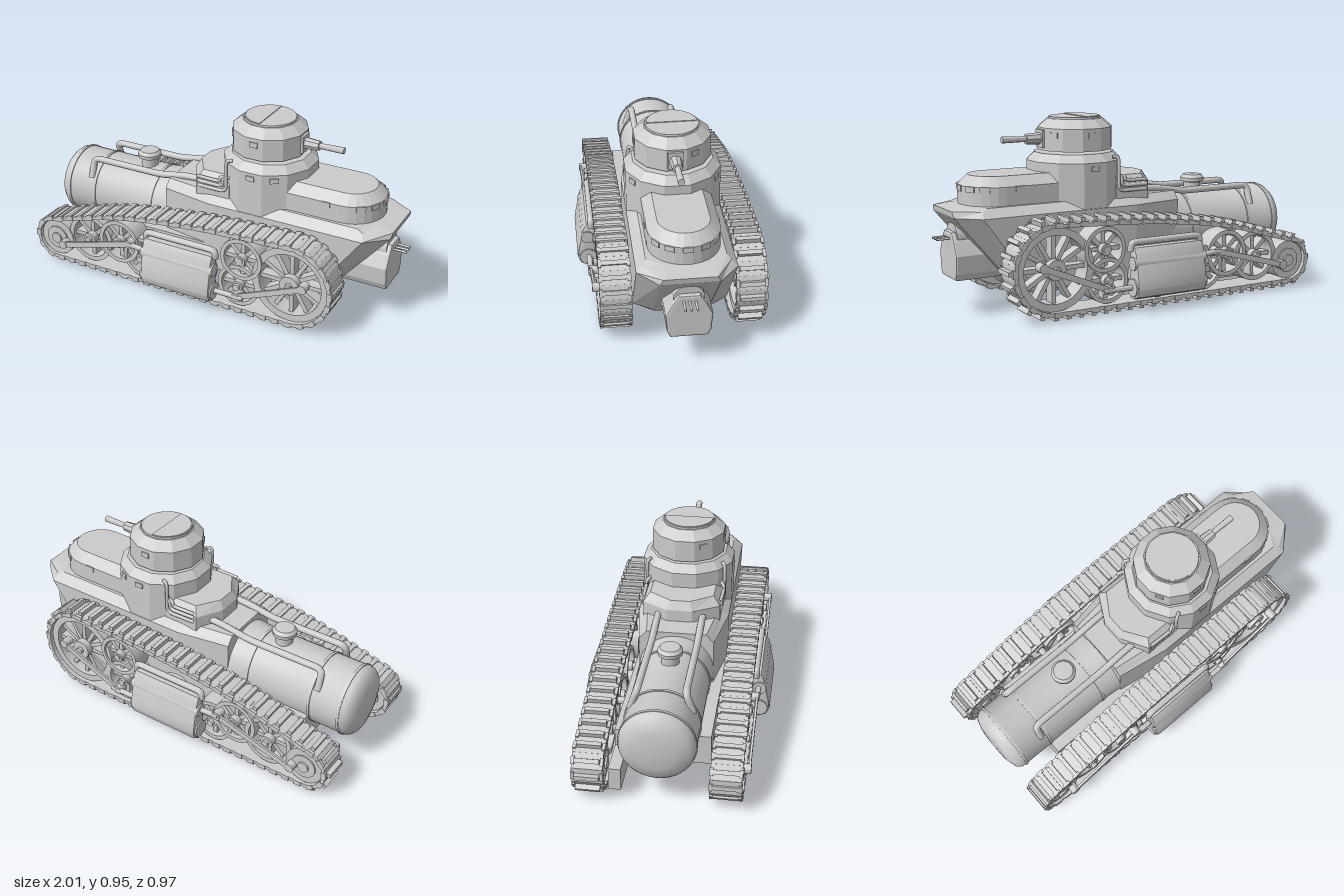
import * as THREE from 'three';
import { toCreasedNormals } from 'three/addons/utils/BufferGeometryUtils.js';

const smooth = new THREE.MeshStandardMaterial({ color: 0xcccccc });
const flat = new THREE.MeshStandardMaterial({ color: 0xcccccc, flatShading: true });
const V = (x, y, z) => new THREE.Vector3(x, y, z);

function add(parent, name, geo, mat = smooth, x = 0, y = 0, z = 0) {
  const m = new THREE.Mesh(geo, mat);
  m.name = name;
  m.position.set(x, y, z);
  parent.add(m);
  return m;
}
const box = (p, name, w, h, d, x, y, z) => add(p, name, new THREE.BoxGeometry(w, h, d), flat, x, y, z);
const crease = (g) => toCreasedNormals(g, 0.6);

// Cylinder running between two points
function bar(p, name, a, b, r, r2 = r, sides = 14) {
  const m = add(p, name, crease(new THREE.CylinderGeometry(r2, r, a.distanceTo(b), sides)));
  m.position.copy(a).add(b).multiplyScalar(0.5);
  m.quaternion.setFromUnitVectors(V(0, 1, 0), b.clone().sub(a).normalize());
  return m;
}
// Bent pipe with tight corners
function pipe(p, name, pts, r) {
  const path = new THREE.CurvePath();
  let prev = pts[0];
  for (let i = 1; i < pts.length - 1; i++) {
    const c = pts[i];
    const near = (q) => c.clone().add(q.clone().sub(c).setLength(Math.min(0.035, c.distanceTo(q) * 0.45)));
    const a = near(pts[i - 1]), b = near(pts[i + 1]);
    path.add(new THREE.LineCurve3(prev, a));
    path.add(new THREE.QuadraticBezierCurve3(a, c, b));
    prev = b;
  }
  path.add(new THREE.LineCurve3(prev, pts[pts.length - 1]));
  return add(p, name, new THREE.TubeGeometry(path, 50, r, 10));
}
// Closed loop, symmetric in z, from half an outline listed front to rear
const outline = (y, half) => [...half.map(([x, z]) => V(x, y, -z)), ...[...half].reverse().map(([x, z]) => V(x, y, z))];
// Solid through stacked loops, bottom to top
function loft(loops) {
  const out = [], tri = (...v) => v.forEach((q) => out.push(q.x, q.y, q.z));
  const n = loops[0].length;
  for (let k = 0; k < loops.length - 1; k++) {
    const b = loops[k], t = loops[k + 1];
    for (let i = 0; i < n; i++) {
      const j = (i + 1) % n;
      tri(b[i], b[j], t[j]);
      tri(b[i], t[j], t[i]);
    }
  }
  const lo = loops[0], hi = loops[loops.length - 1];
  for (let i = 1; i < n - 1; i++) { tri(hi[0], hi[i], hi[i + 1]); tri(lo[0], lo[i + 1], lo[i]); }
  const g = new THREE.BufferGeometry();
  g.setAttribute('position', new THREE.Float32BufferAttribute(out, 3));
  g.computeVertexNormals();
  return g;
}
// (z, y) section extruded from x0 to x1
function alongX(section, x0, x1, bevel) {
  const s = new THREE.Shape(section.map(([z, y]) => new THREE.Vector2(-z, y)));
  const g = new THREE.ExtrudeGeometry(s, { depth: x1 - x0, bevelSize: bevel, bevelThickness: bevel, bevelOffset: -bevel, bevelSegments: 2 });
  return g.rotateY(Math.PI / 2).translate(x0, 0, 0);
}
const lathe = (pts, n) => new THREE.LatheGeometry(pts.map(([r, y]) => new THREE.Vector2(r, y)), n);

// Spoked wheel, axis along z
function wheel(p, name, x, y, z, r, spokes) {
  const g = new THREE.Group();
  g.name = name;
  g.position.set(x, y, z);
  p.add(g);
  const ring = new THREE.Shape().absarc(0, 0, r, 0, Math.PI * 2);
  ring.holes.push(new THREE.Path().absarc(0, 0, r * 0.82, 0, Math.PI * 2, true));
  add(g, 'rim', crease(new THREE.ExtrudeGeometry(ring, { depth: 0.11, bevelEnabled: false, curveSegments: 18 }).translate(0, 0, -0.055)));
  add(g, 'hub', crease(new THREE.CylinderGeometry(r * 0.25, r * 0.25, 0.13, 16).rotateX(Math.PI / 2)));
  for (let i = 0; i < spokes; i++) {
    const a = (i / spokes) * Math.PI * 2;
    box(g, 'spoke', r * 0.75, 0.022, 0.06, Math.cos(a) * r * 0.5, Math.sin(a) * r * 0.5, 0).rotation.z = a;
  }
}

// Track, wheels, steam cylinder and rods for one side (s = +1 or -1)
function runningGear(s) {
  const g = new THREE.Group();
  g.name = s > 0 ? 'frontSideRunningGear' : 'backSideRunningGear';
  const zc = s * 0.328, top = [[0.1, 0.45], [-0.2, 0.42], [-0.45, 0.38], [-0.66, 0.325], [-0.86, 0.266]];
  const path = new THREE.Shape();
  path.moveTo(0.535, 0.041);
  path.absarc(0.535, 0.256, 0.215, -Math.PI / 2, Math.PI / 2, false);
  path.splineThru(top.map(([x, y]) => new THREE.Vector2(x, y)));
  path.absarc(-0.86, 0.154, 0.112, Math.PI / 2, Math.PI * 1.5, false);
  path.lineTo(0.535, 0.041);
  // Links with end lips and a cross lug; lugs stand taller on the back side
  const links = 56, lug = s > 0 ? 0.019 : 0.035;
  for (let i = 0; i < links; i++) {
    const q = path.getPointAt(i / links), t = path.getTangentAt(i / links);
    const link = new THREE.Group();
    link.name = 'trackLink';
    link.position.set(q.x, q.y, zc);
    link.rotation.z = Math.atan2(t.y, t.x);
    box(link, 'linkPlate', 0.076, 0.018, 0.15, 0, 0, 0);
    box(link, 'linkLug', 0.022, lug, s > 0 ? 0.155 : 0.12, 0, -lug / 2, 0);
    for (const e of [-1, 1]) box(link, 'linkLip', 0.04, 0.026, 0.016, 0, -0.004, e * 0.07);
    g.add(link);
  }
  // Wheels and axles
  const wheels = [['roadWheel', -0.645, 0.2, 0.135, 8], ['upperRoller', -0.455, 0.235, 0.122, 8], ['roadWheel', -0.32, 0.17, 0.115, 8],
    ['roadWheel', -0.03, 0.165, 0.11, 8], ['roadWheel', 0.25, 0.17, 0.115, 8], ['upperRoller', 0.27, 0.33, 0.115, 8], ['driveWheel', 0.535, 0.256, 0.206, 12]];
  wheels.forEach(([name, x, y, r, n], i) => {
    wheel(g, name, x, y, zc + s * (i % 2 ? 0.012 : 0), r, n);
    bar(g, 'axle', V(x, y, s * 0.2), V(x, y, s * 0.41), 0.018);
  });
  add(g, 'rearIdler', crease(new THREE.CylinderGeometry(0.102, 0.102, 0.12, 24).rotateX(Math.PI / 2)), smooth, -0.86, 0.154, zc);
  for (const [r, d] of [[0.065, 0.135], [0.03, 0.155]])
    add(g, 'idlerHub', crease(new THREE.CylinderGeometry(r, r, d, 18).rotateX(Math.PI / 2)), smooth, -0.86, 0.154, zc);
  // Steam cylinder casing
  const casing = [[0.39, 0.07], [0.43, 0.068], [0.47, 0.085], [0.486, 0.125], [0.478, 0.18], [0.452, 0.3], [0.435, 0.33], [0.39, 0.33]];
  add(g, 'steamCylinderCasing', crease(alongX(casing.map(([z, y]) => [s * z, y]), -0.26, 0.12, 0.012)));
  for (const [y, r] of [[0.13, 0.045], [0.25, 0.034]]) bar(g, 'cylinderCap', V(-0.28, y, s * 0.43), V(0.14, y, s * 0.43), r, r, 20);
  pipe(g, 'steamFeedPipe', [V(-0.27, 0.31, s * 0.41), V(-0.27, 0.355, s * 0.41), V(0.135, 0.355, s * 0.41), V(0.135, 0.31, s * 0.41)], 0.017);
  // Connecting rods
  const zr = s * 0.425;
  for (const [x0, y0, x1, y1] of [[-0.8, 0.14, -0.37, 0.26], [0.26, 0.13, 0.62, 0.28]]) {
    const rod = box(g, 'connectingRod', Math.hypot(x1 - x0, y1 - y0), 0.03, 0.012, (x0 + x1) / 2, (y0 + y1) / 2, zr);
    rod.rotation.z = Math.atan2(y1 - y0, x1 - x0);
    for (const [x, y] of [[x0, y0], [x1, y1]]) bar(g, 'rodEnd', V(x, y, s * 0.38), V(x, y, s * 0.434), 0.024);
  }
  bar(g, 'pistonRod', V(0.12, 0.13, zr), V(0.3, 0.13, zr), 0.014);
  bar(g, 'pistonRod', V(-0.26, 0.25, zr), V(-0.38, 0.26, zr), 0.014);
  return g;
}

export function createModel() {
  const root = new THREE.Group();
  root.name = 'steamTank';

  // Hull
  const hull = (y, f, c, z, nz) => outline(y, [[f, nz], [c, z], [0, z], [-0.28, z * 0.8]]);
  add(root, 'hull', loft([hull(0.11, 0.62, 0.56, 0.21, 0.13), hull(0.13, 0.635, 0.57, 0.238, 0.14),
    hull(0.505, 0.95, 0.84, 0.238, 0.14), hull(0.535, 0.955, 0.83, 0.205, 0.125), hull(0.548, 0.86, 0.8, 0.19, 0.1)]), flat);
  box(root, 'lowerHull', 0.78, 0.16, 0.47, -0.36, 0.19, 0);
  box(root, 'sideLocker', 0.53, 0.12, 0.06, -0.675, 0.12, -0.205);

  // Boiler with bands and a flared joint into the hull
  const boiler = add(root, 'boiler', crease(lathe([[0, -0.99], [0.1, -0.985], [0.16, -0.968], [0.18, -0.945], [0.187, -0.915], [0.184, -0.91], [0.184, -0.39], [0.2, -0.2], [0.228, 0.06], [0, 0.06]], 36)), smooth, 0, 0.335, 0);
  boiler.rotation.z = -Math.PI / 2;
  for (const x of [-0.915, -0.75, -0.39]) bar(root, 'boilerBand', V(x - 0.007, 0.335, 0), V(x + 0.007, 0.335, 0), 0.189, 0.189, 36);
  add(root, 'steamDome', crease(lathe([[0.045, 0.49], [0.045, 0.56], [0.062, 0.565], [0.064, 0.585], [0.05, 0.602], [0, 0.605]], 20)), smooth, -0.495, 0, 0);

  // Rear platform, tower, forward casemate
  const rear = (y, z, x, d) => outline(y, [[0.1, z], [x, z], [x - 0.075, d]]);
  add(root, 'rearPlatform', loft([rear(0.5, 0.2, -0.09, 0.065), rear(0.61, 0.2, -0.09, 0.065), rear(0.655, 0.165, -0.065, 0.05)]), flat);
  const tower = add(root, 'tower', lathe([[0, 0.45], [0.245, 0.45], [0.245, 0.735], [0.205, 0.775], [0, 0.775]], 12), flat, 0.238, 0, 0);
  tower.rotation.y = Math.PI / 12;
  const round = (y, r) => {
    const half = [];
    for (let i = 0; i <= 6; i++) {
      const a = ((i + 0.5) / 6.5) * Math.PI / 2;
      half.push([0.69 + r * Math.cos(a), r * Math.sin(a)]);
    }
    return outline(y, [...half, [0.3, r]]);
  };
  add(root, 'casemate', loft([round(0.53, 0.174), round(0.64, 0.174), round(0.688, 0.125)]), flat);

  // Turret, hatch, gun
  const turret = new THREE.Group();
  turret.name = 'turret';
  turret.position.set(0.23, 0, 0);
  root.add(turret);
  add(turret, 'turretShell', lathe([[0, 0.786], [0.194, 0.786], [0.194, 0.9], [0.142, 0.944], [0, 0.944]], 12), flat).rotation.y = Math.PI / 12;
  add(turret, 'hatch', crease(new THREE.CylinderGeometry(0.132, 0.134, 0.012, 24)), smooth, 0, 0.947, 0);
  const half = new THREE.Shape().absarc(0, 0, 0.126, Math.PI / 2, Math.PI * 1.5);
  add(turret, 'hatchLid', new THREE.ExtrudeGeometry(half, { depth: 0.007, bevelEnabled: false }).rotateX(-Math.PI / 2), flat, 0, 0.95, 0);
  box(turret, 'gunMount', 0.03, 0.09, 0.075, 0.185, 0.846, 0.004);
  bar(turret, 'gunSleeve', V(0.18, 0.846, 0.004), V(0.275, 0.846, 0.004), 0.032, 0.026, 8);
  bar(turret, 'gunBarrel', V(0.26, 0.846, 0.004), V(0.405, 0.848, 0.004), 0.014, 0.017, 12);
  for (const a of [-0.52, 1.57, 2.62, 4.71])
    box(turret, 'turretVisor', 0.01, 0.028, 0.042, Math.cos(a) * 0.188, 0.866, Math.sin(a) * 0.188).rotation.y = -a;

  // Vision slots on tower and casemate
  for (const s of [-1, 1]) {
    for (const a of [1.05, 1.57]) box(root, 'towerVisor', 0.01, 0.026, 0.045, 0.238 + Math.cos(a) * 0.238, 0.705, s * Math.sin(a) * 0.238).rotation.y = -s * a;
    for (const a of [0, 0.5, 0.95]) if (a || s > 0)
      box(root, 'casemateVisor', 0.014, 0.028, 0.048, 0.69 + Math.cos(a) * 0.171, 0.628, s * Math.sin(a) * 0.171).rotation.y = -s * a;
    box(root, 'casemateVisor', 0.045, 0.028, 0.012, 0.62, 0.628, s * 0.173);
  }

  // Nose housing with a rounded cowl and three small guns
  const nose = [[-0.105, 0.22], [-0.09, 0.187], [0.09, 0.187], [0.105, 0.22], [0.112, 0.31], [0.08, 0.375], [0.05, 0.42], [-0.05, 0.42], [-0.08, 0.375], [-0.112, 0.31]];
  add(root, 'noseHousing', alongX(nose, 0.7, 0.923, 0.01), flat);
  bar(root, 'noseCowl', V(0.7, 0.39, 0), V(0.91, 0.39, 0), 0.074, 0.074, 20);
  for (const z of [-0.028, 0, 0.028]) bar(root, 'noseGun', V(0.9, 0.388, z), V(1, 0.388, z), 0.006);

  // Steam pipes and exhausts on both sides, then running gear
  for (const s of [-1, 1]) {
    pipe(root, 'steamPipe', [V(-0.78, 0.43, s * 0.15), V(-0.78, 0.535, s * 0.115), V(-0.36, 0.535, s * 0.115), V(-0.2, 0.562, s * 0.115), V(-0.06, 0.57, s * 0.115)], 0.018);
    [0.63, 0.605, 0.58].forEach((y, i) => {
      const x = 0.05 + i * 0.018, rise = i === 2 ? 0.755 : 0.655;
      pipe(root, 'exhaustPipe', [V(-0.08, y, s * 0.2), V(x, y, s * 0.205), V(x, rise, s * 0.205), V(x + 0.03, rise, s * 0.19)], 0.009);
    });
    root.add(runningGear(s));
  }
  return root;
}
